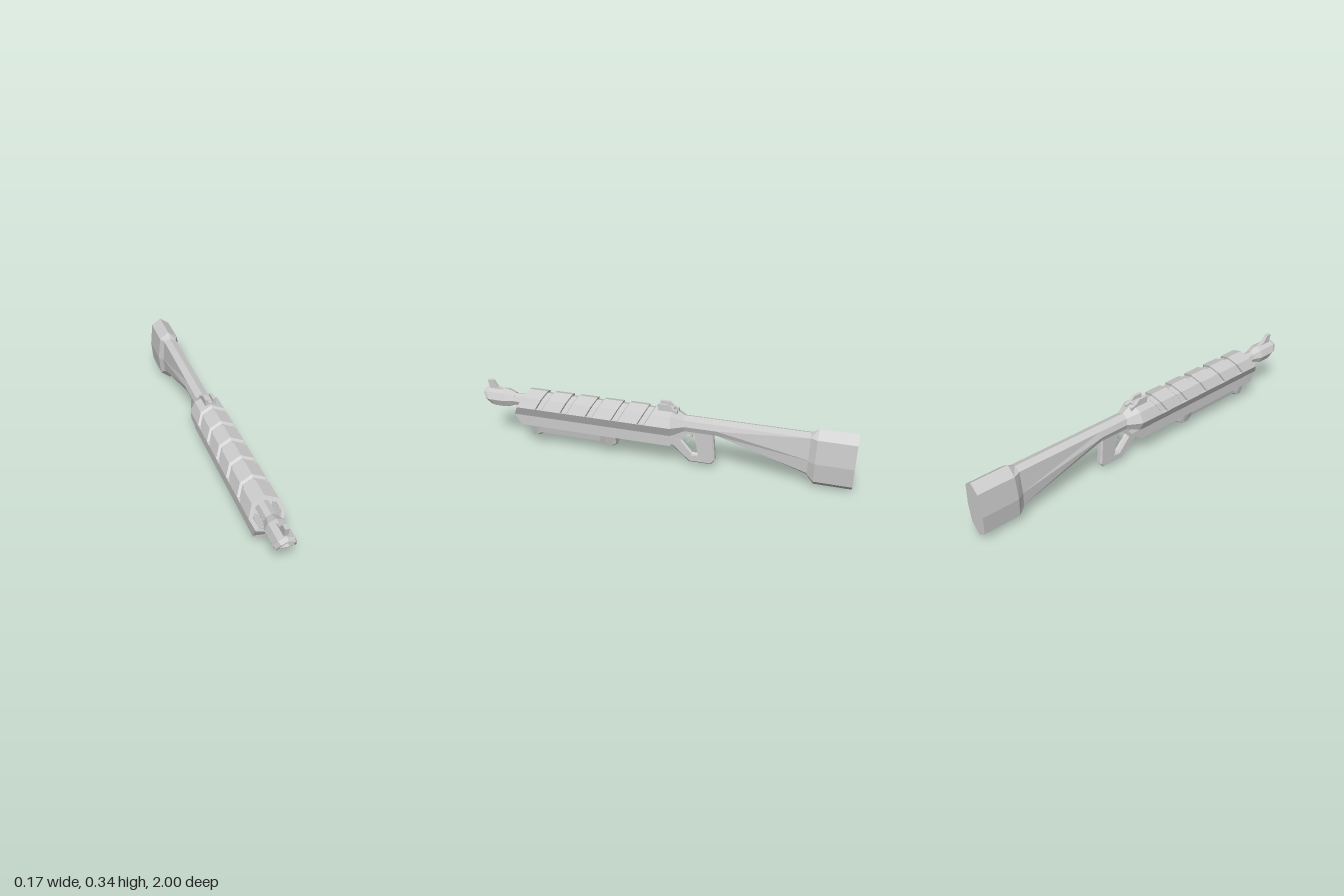
import * as THREE from 'three';

const mat = new THREE.MeshStandardMaterial({ color: 0xcccccc, flatShading: true, side: THREE.DoubleSide });

// Ring from a half profile (top to bottom, +x side), mirrored; z is a number or a rule of y.
function ring(half, z) {
  const at = typeof z === 'function' ? z : () => z;
  const mirrored = half.slice(1, -1).reverse().map(([x, y]) => [-x, y]);
  return [...half, ...mirrored].map(([x, y]) => new THREE.Vector3(x, y, at(y)));
}

// Skin over rings ordered front to back, with both ends closed.
function loft(name, rings) {
  const pos = [];
  const tri = (a, b, c) => {
    const area = b.clone().sub(a).cross(c.clone().sub(a)).length();
    if (area > 1e-9) for (const p of [a, b, c]) pos.push(p.x, p.y, p.z);
  };
  const n = rings[0].length;
  for (let i = 0; i < rings.length - 1; i++) {
    const a = rings[i], b = rings[i + 1];
    for (let j = 0; j < n; j++) {
      const k = (j + 1) % n;
      tri(a[j], a[k], b[j]);
      tri(a[k], b[k], b[j]);
    }
  }
  const cap = (r, back) => {
    const c = r.reduce((s, p) => s.add(p), new THREE.Vector3()).divideScalar(n);
    r.forEach((p, j) => {
      const q = r[(j + 1) % n];
      if (back) tri(c, p, q); else tri(c, q, p);
    });
  };
  cap(rings[0], false);
  cap(rings[rings.length - 1], true);
  const g = new THREE.BufferGeometry();
  g.setAttribute('position', new THREE.Float32BufferAttribute(pos, 3));
  g.computeVertexNormals();
  const m = new THREE.Mesh(g, mat);
  m.name = name;
  return m;
}

// Side plate: outline in (z, y), extruded across x.
function plate(name, pts, width, x = 0, hole = null, bevel = 0) {
  const v = (a) => a.map(([z, y]) => new THREE.Vector2(z, y));
  const s = new THREE.Shape(v(pts));
  if (hole) s.holes.push(new THREE.Path(v(hole)));
  const depth = width - 2 * bevel;
  const g = new THREE.ExtrudeGeometry(s, {
    depth, bevelEnabled: bevel > 0, bevelSize: bevel, bevelThickness: bevel, bevelOffset: -bevel, bevelSegments: 1,
  });
  g.translate(0, 0, -depth / 2);
  g.rotateY(-Math.PI / 2);
  const m = new THREE.Mesh(g, mat);
  m.name = name;
  m.position.x = x;
  return m;
}

// Half octagon with a corner at the top.
const oct = (r, cy) => [0, 1, 2, 3, 4].map((i) => {
  const a = i * Math.PI / 4;
  return [r * Math.sin(a), cy + r * Math.cos(a)];
});

// Receiver section; s shrinks only the upper half to make the grooves.
const CY = 0.243;
const shell = (s, t = 1) => [
  [0, CY + 0.077 * s], [0.0625 * s, CY + 0.054 * s], [0.087 * s, CY],
  [0.087 * t, CY], [0.0625 * t, CY - 0.054 * t], [0, CY - 0.077 * t],
];

export function createModel() {
  const group = new THREE.Group();
  const slant = (z) => (y) => z + Math.min(0.32 - y, 0.13) * 0.55;

  // Upper receiver: hollow front, slanted ribs, tapered back
  const rings = [
    ring(shell(0.76, 0.76), slant(0.64)),
    ring(shell(0.76, 0.76), slant(0.735)),
    ring(shell(1), slant(0.735)),
  ];
  for (let i = 0; i < 5; i++) {
    const z = 0.628 - i * 0.143;
    rings.push(ring(shell(1), slant(z)), ring(shell(0.86), slant(z - 0.005)),
      ring(shell(0.86), slant(z - 0.035)), ring(shell(1), slant(z - 0.04)));
  }
  rings.push(ring(shell(1), -0.075), ring(shell(0.52, 0.52), -0.145));
  group.add(loft('receiver', rings));

  // Lower body with sloped ends
  const chin = [[0, 0.17], [0.0625, 0.192], [0.0625, 0.13], [0, 0.108]];
  group.add(loft('lowerBody', [
    ring(chin, (y) => 0.805 - Math.max(0, 0.19 - y) * 0.55),
    ring(chin, (y) => 0.06 - y),
  ]));

  // Barrel and muzzle with a bore and raked front
  group.add(loft('barrel', [ring(oct(0.035, 0.248), 0.88), ring(oct(0.035, 0.248), 0.6)]));
  const rake = (z) => (y) => z - Math.max(0, 0.27 - y) * 0.8;
  group.add(loft('muzzle', [
    ring(oct(0.03, 0.25), 0.9),
    ring(oct(0.037, 0.25), rake(1)),
    ring(oct(0.046, 0.25), rake(1)),
    ring(oct(0.053, 0.25), rake(0.98)),
    ring(oct(0.053, 0.25), 0.87),
    ring(oct(0.035, 0.25), 0.82),
  ]));

  // Sights
  group.add(plate('frontSight',
    [[0.98, 0.345], [0.95, 0.345], [0.925, 0.308], [0.89, 0.3], [0.89, 0.285], [0.97, 0.285]], 0.02));
  for (const s of [-1, 1]) {
    group.add(plate('rearSight',
      [[0, 0.345], [-0.05, 0.345], [-0.07, 0.325], [-0.1, 0.315], [-0.1, 0.29], [0, 0.29]], 0.016, s * 0.02));
  }
  group.add(plate('rearSightBase', [[0, 0.325], [-0.08, 0.325], [-0.08, 0.29], [0, 0.29]], 0.03));

  // Under rail with a thicker block at each end
  const big = [[0, 0.13], [0.052, 0.125], [0.037, 0.065], [0, 0.048]];
  const thin = [[0, 0.13], [0.038, 0.125], [0.03, 0.078], [0, 0.062]];
  group.add(loft('underRail', [
    ring(big, 0.72), ring(big, 0.695), ring(thin, 0.67),
    ring(thin, 0.325), ring(big, 0.295), ring(big, 0.26), ring(thin, 0.235),
  ]));

  // Loop grip and trigger
  group.add(plate('loopGrip',
    [[-0.055, 0.125], [-0.165, 0.028], [-0.285, 0.03], [-0.303, 0.055], [-0.288, 0.215], [-0.08, 0.215]], 0.04, 0,
    [[-0.1, 0.14], [-0.172, 0.058], [-0.222, 0.062], [-0.2, 0.2], [-0.15, 0.2]], 0.008));
  group.add(plate('trigger',
    [[-0.165, 0.21], [-0.165, 0.17], [-0.148, 0.138], [-0.158, 0.135], [-0.178, 0.165], [-0.185, 0.21]], 0.014));

  // Wrist, stock and butt
  const wrist = [[0, 0.288], [0.035, 0.274], [0.045, 0.243], [0.035, 0.214], [0, 0.2]];
  const stock = [[0, 0.288], [0.035, 0.274], [0.045, 0.15], [0.04, 0.072], [0, 0.042]];
  const butt = [[0, 0.313], [0.052, 0.275], [0.065, 0.15], [0.055, 0.045], [0, 0]];
  group.add(loft('stock', [ring(wrist, -0.13), ring(wrist, -0.31), ring(stock, -0.8)]));
  group.add(loft('butt', [ring(stock, -0.775), ring(butt, -0.81), ring(butt, -1)]));

  return group;
}
